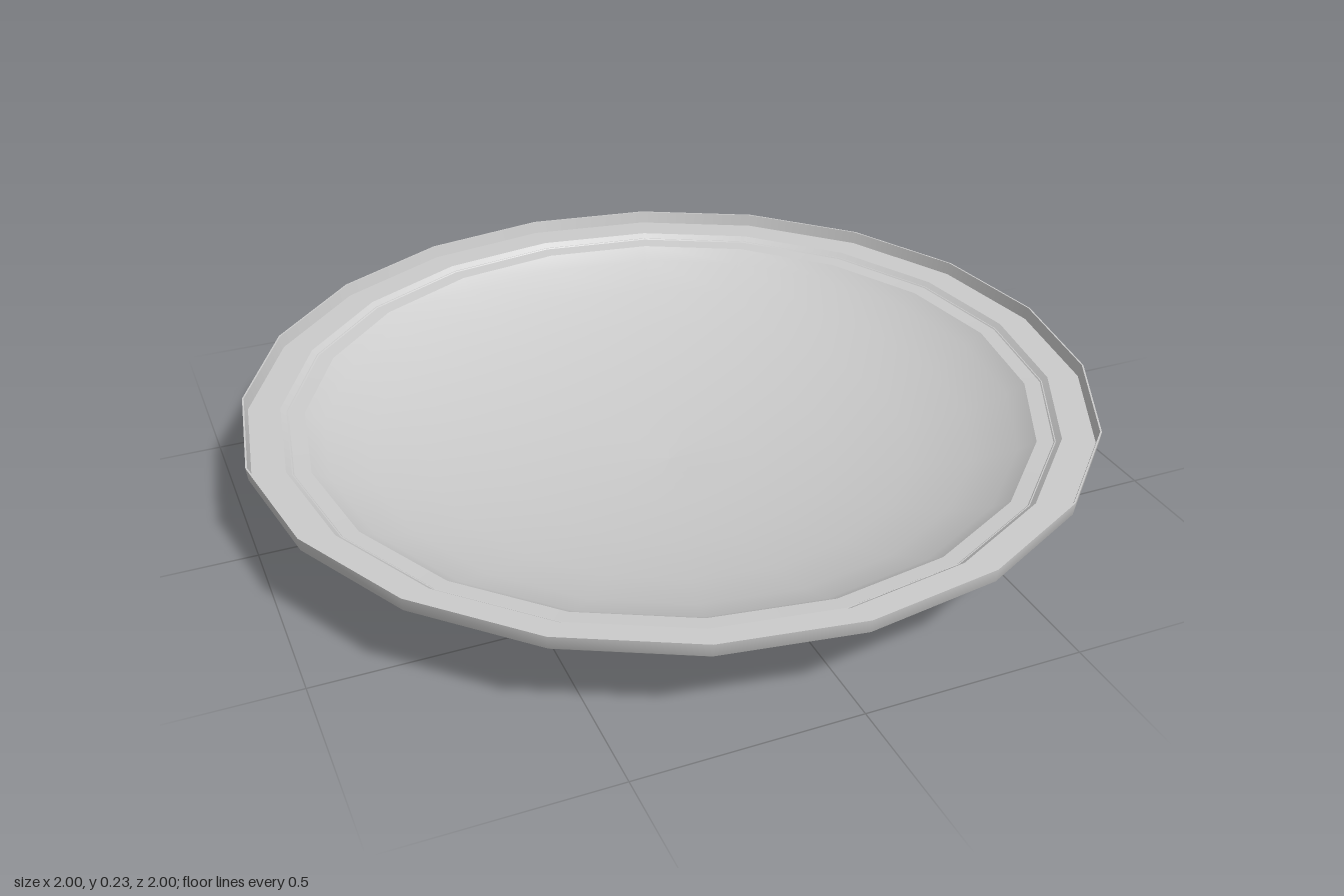
import * as THREE from 'three';

const SIDES = 20;

export function createModel() {
  const model = new THREE.Group();
  model.name = 'shallowDish';
  const material = new THREE.MeshStandardMaterial({ color: 0xcccccc, side: THREE.DoubleSide });

  // Each turned band is its own lathe, so normals are smooth within it and sharp between bands
  const addBand = (name, profile) => {
    const points = profile.map(([r, y]) => new THREE.Vector2(r, y));
    const mesh = new THREE.Mesh(new THREE.LatheGeometry(points, SIDES), material);
    mesh.name = name;
    model.add(mesh);
  };

  // Rounded underside of the bowl
  addBand('bowlUnderside', [
    [0, 0], [0.2, 0.008], [0.4, 0.027], [0.58, 0.057], [0.72, 0.094], [0.82, 0.134], [0.87, 0.163], [0.9, 0.19],
  ]);

  // Flat rim with an upturned outer lip
  addBand('rimUnderside', [[0.9, 0.19], [0.985, 0.19]]);
  addBand('lipOuterWall', [[0.985, 0.19], [0.997, 0.2], [1, 0.23]]);
  addBand('lipTop', [[1, 0.23], [0.996, 0.23]]);
  addBand('lipInnerWall', [[0.996, 0.23], [0.99, 0.2]]);
  addBand('rimTop', [[0.99, 0.2], [0.915, 0.2]]);

  // Small step and ledge around the hollow
  addBand('rimStep', [[0.915, 0.2], [0.9, 0.188]]);
  addBand('innerLedge', [[0.9, 0.188], [0.86, 0.185]]);

  // Concave inside of the bowl
  addBand('bowlInside', [
    [0.86, 0.185], [0.82, 0.157], [0.72, 0.113], [0.58, 0.074], [0.4, 0.042], [0.2, 0.022], [0, 0.015],
  ]);

  return model;
}
